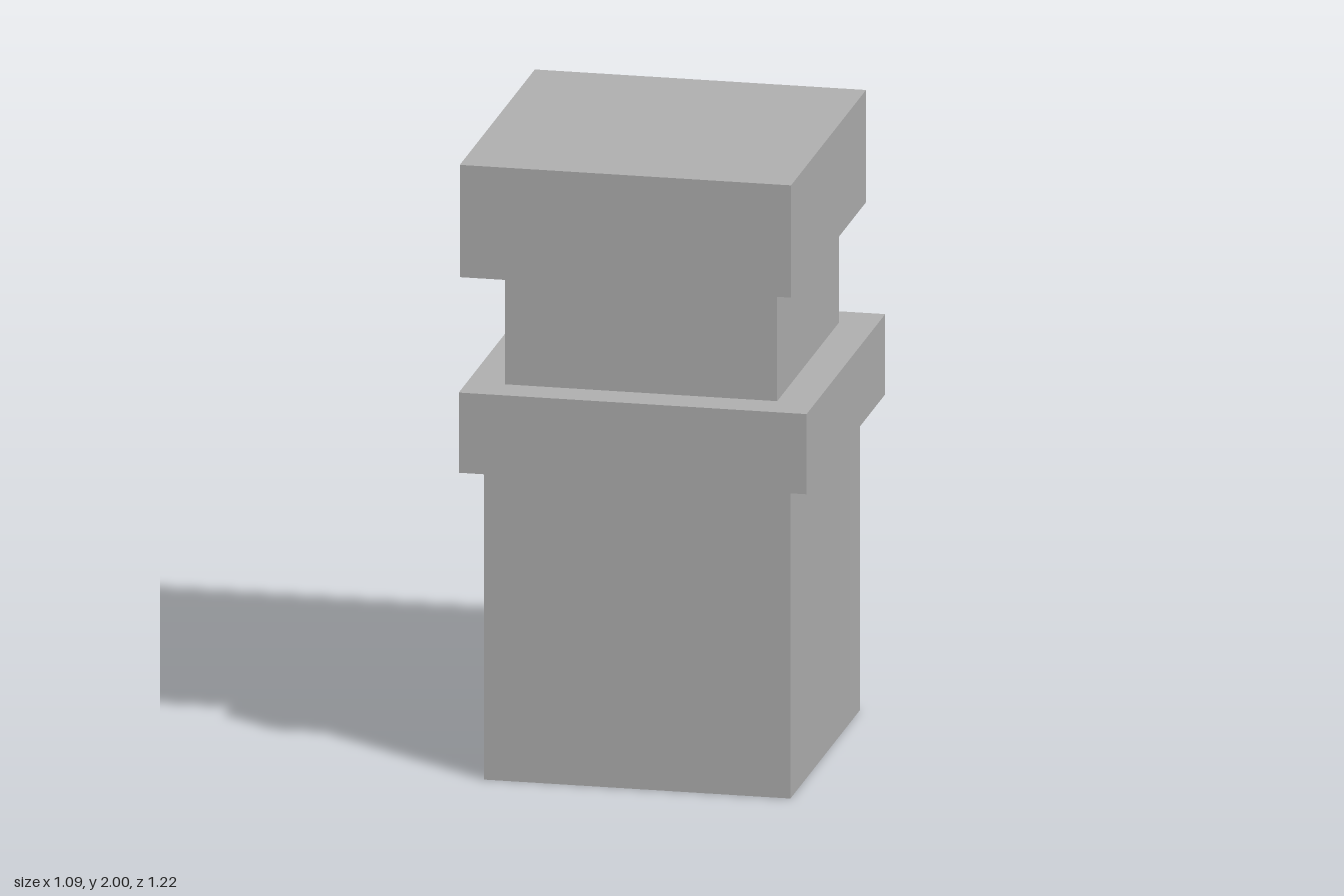
import * as THREE from 'three';

export function createModel() {
  const group = new THREE.Group();
  const grey = new THREE.MeshStandardMaterial({ color: 0xb2b2b2 });
  grey.name = 'plain grey';

  // Block given by its extents along each axis
  const block = (name, [x0, x1], [y0, y1], [z0, z1]) => {
    const mesh = new THREE.Mesh(new THREE.BoxGeometry(x1 - x0, y1 - y0, z1 - z0), grey);
    mesh.position.set((x0 + x1) / 2, (y0 + y1) / 2, (z0 + z1) / 2);
    mesh.name = name;
    group.add(mesh);
  };

  block('base', [-0.48, 0.477], [0, 0.99], [-0.543, 0.44]);
  block('collar', [-0.545, 0.542], [0.99, 1.245], [-0.608, 0.505]);
  // The neck rises into the cap and shows behind its back face
  block('neck', [-0.427, 0.424], [1.245, 1.797], [-0.487, 0.387]);
  // The cap is set forward and overhangs the front
  block('cap', [-0.519, 0.516], [1.643, 2], [-0.454, 0.608]);

  return group;
}
